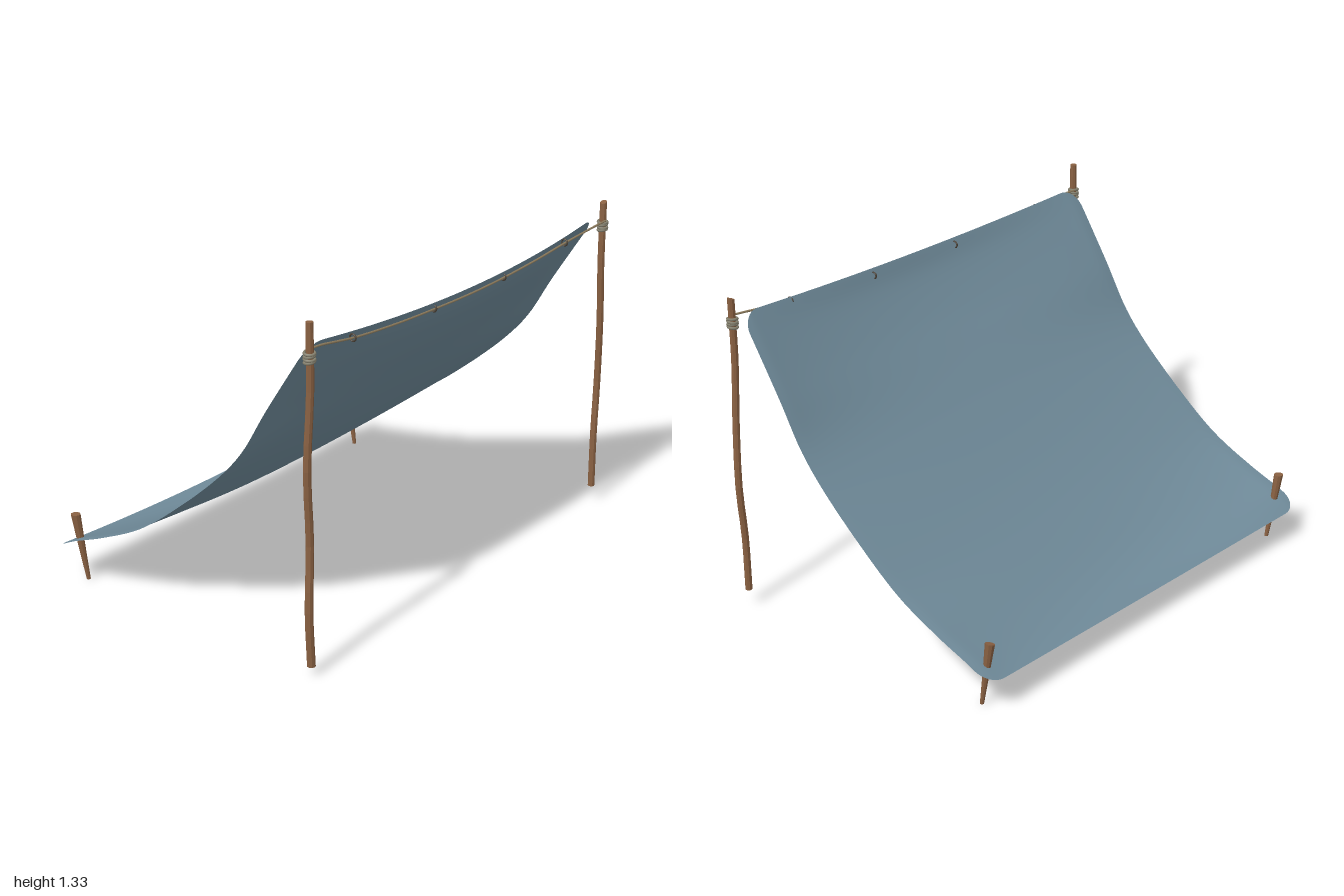
import * as THREE from 'three';

const V = (x, y, z) => new THREE.Vector3(x, y, z);
const curve = (pts) => new THREE.CatmullRomCurve3(pts.map((p) => V(...p)));

// Materials
const cloth = new THREE.MeshStandardMaterial({ color: 0x6f8a99, side: THREE.DoubleSide });
const wood = new THREE.MeshStandardMaterial({ color: 0x8a6142, flatShading: true });
const rope = new THREE.MeshStandardMaterial({ color: 0x8f7d5e });
const lashing = new THREE.MeshStandardMaterial({ color: 0x85816f });
const tieCord = new THREE.MeshStandardMaterial({ color: 0x4a4035 });
wood.name = 'wood';
cloth.name = 'cloth';
rope.name = 'rope';
lashing.name = 'lashing cord';
tieCord.name = 'tie cord';

function add(group, name, geometry, material) {
  const mesh = new THREE.Mesh(geometry, material);
  mesh.name = name;
  group.add(mesh);
  return mesh;
}

// Sagging sheet with rounded corners, blended between a side and a centre profile
function sheetGeometry() {
  const side = curve([
    [0, 1.237, 0.597], [0, 1.09, 0.5], [0, 0.935, 0.4], [0, 0.77, 0.3], [0, 0.655, 0.2], [0, 0.48, 0],
    [0, 0.335, -0.2], [0, 0.243, -0.4], [0, 0.183, -0.56], [0, 0.138, -0.645],
  ]);
  const centre = curve([
    [0, 1.2, 0.631], [0, 1.12, 0.595], [0, 0.985, 0.5], [0, 0.867, 0.4], [0, 0.755, 0.3], [0, 0.65, 0.2],
    [0, 0.46, 0], [0, 0.3, -0.2], [0, 0.17, -0.4], [0, 0.125, -0.52], [0, 0.12, -0.627],
  ]);
  const halfWidth = 0.94, radius = 0.085, length = 1.7, rows = 64, cols = 48;
  const pos = [], index = [];
  for (let i = 0; i <= rows; i++) {
    const t = 0.5 - 0.5 * Math.cos((Math.PI * i) / rows);
    const d = Math.max(0, radius - Math.min(t, 1 - t) * length);
    const w = halfWidth - radius + Math.sqrt(radius * radius - d * d);
    const a = side.getPointAt(t), b = centre.getPointAt(t);
    for (let j = 0; j <= cols; j++) {
      const x = w * Math.sin((Math.PI / 2) * ((2 * j) / cols - 1));
      const p = b.clone().lerp(a, Math.min(1, (x / 0.9) ** 2));
      pos.push(x - 0.005, p.y, p.z);
      if (i < rows && j < cols) {
        const k = i * (cols + 1) + j, n = k + cols + 1;
        index.push(k, k + 1, n, k + 1, n + 1, n);
      }
    }
  }
  const g = new THREE.BufferGeometry();
  g.setAttribute('position', new THREE.Float32BufferAttribute(pos, 3));
  g.setIndex(index);
  g.computeVertexNormals();
  return g;
}

// Capped round timber whose rings follow a crooked path, bottom to top
function timberGeometry(points, rBottom, rTop, rings, slant = 0) {
  const path = curve(points);
  const g = new THREE.CylinderGeometry(rTop, rBottom, 1, 9, rings);
  const p = g.attributes.position;
  for (let i = 0; i < p.count; i++) {
    const t = THREE.MathUtils.clamp(p.getY(i) + 0.5, 0, 1);
    const c = path.getPoint(t);
    const cut = t > 0.999 ? slant * p.getX(i) : 0;
    p.setXYZ(i, c.x + p.getX(i), c.y + cut, c.z + p.getZ(i));
  }
  g.computeVertexNormals();
  return g;
}

export function createModel() {
  const model = new THREE.Group();
  model.name = 'tarpShelter';

  add(model, 'tarp', sheetGeometry(), cloth);

  // Crooked front poles
  add(model, 'rightPole', timberGeometry([
    [-0.966, 0.035, 0.62], [-0.976, 0.25, 0.618], [-0.961, 0.5, 0.612],
    [-0.983, 0.79, 0.618], [-0.969, 1.08, 0.622], [-0.969, 1.33, 0.62],
  ], 0.016, 0.014, 15), wood);
  add(model, 'leftPole', timberGeometry([
    [0.959, 0.07, 0.618], [0.963, 0.3, 0.616], [0.984, 0.53, 0.61],
    [0.972, 0.8, 0.618], [0.959, 1.05, 0.618], [0.963, 1.3, 0.616],
  ], 0.014, 0.014, 15, 0.35), wood);

  // Tapered stakes through the back corners
  add(model, 'rightStake', timberGeometry(
    [[-0.864, 0, -0.55], [-0.881, 0.14, -0.562], [-0.897, 0.28, -0.573]], 0.008, 0.019, 3), wood);
  add(model, 'leftStake', timberGeometry(
    [[0.872, 0, -0.552], [0.869, 0.14, -0.572], [0.867, 0.265, -0.59]], 0.008, 0.019, 3, 0.3), wood);

  // Ridge rope along the front edge
  const line = curve([
    [-0.955, 1.222, 0.603], [-0.9, 1.222, 0.606], [-0.72, 1.201, 0.617], [-0.48, 1.183, 0.62], [-0.23, 1.174, 0.622],
    [0, 1.171, 0.624], [0.23, 1.174, 0.622], [0.48, 1.186, 0.62], [0.67, 1.201, 0.619], [0.88, 1.22, 0.628],
    [0.955, 1.226, 0.632],
  ]);
  add(model, 'ridgeRope', new THREE.TubeGeometry(line, 80, 0.0045, 6), rope);

  // Short ties holding the sheet to the rope
  for (const [x, y] of [[-0.72, 1.2], [-0.23, 1.174], [0.23, 1.174], [0.67, 1.201]]) {
    const tie = add(model, 'tie', new THREE.TorusGeometry(0.013, 0.0035, 6, 14), tieCord);
    tie.position.set(x, y + 0.002, 0.617);
    tie.rotation.y = Math.PI / 2;
  }

  // Lashings wound round each pole
  for (const [name, x, z] of [['rightLashing', -0.97, 0.621], ['leftLashing', 0.96, 0.617]]) {
    const group = new THREE.Group();
    group.name = name;
    group.position.set(x, 1.203, z);
    for (let i = 0; i < 4; i++) {
      const turn = add(group, 'turn', new THREE.TorusGeometry(0.0185, 0.0055, 6, 18), lashing);
      turn.position.y = (i - 1.5) * 0.0105;
      turn.rotation.set(Math.PI / 2 + 0.12 * (i % 2 ? 1 : -1), 0.1, 0);
    }
    model.add(group);
  }
  return model;
}
